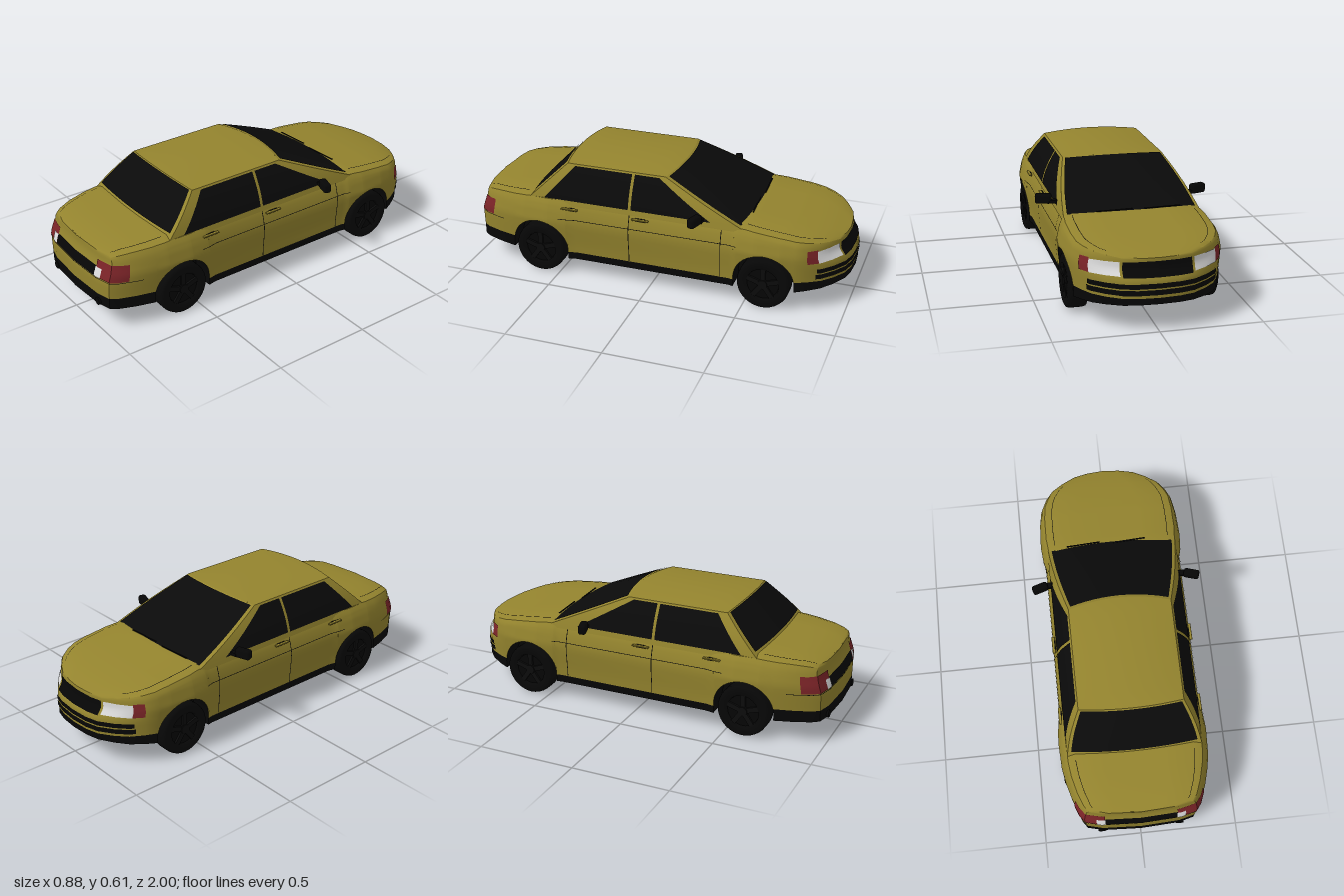
import * as THREE from 'three';
import { toCreasedNormals } from 'three/addons/utils/BufferGeometryUtils.js';
import { RoundedBoxGeometry } from 'three/addons/geometries/RoundedBoxGeometry.js';

const { lerp, smoothstep } = THREE.MathUtils;
const V = (x, y, z) => new THREE.Vector3(x, y, z);
const mat = (name, color) => {
  const m = new THREE.MeshStandardMaterial({ color });
  m.name = name;
  return m;
};

// Piecewise linear lookup in [[x, y], ...]
function tab(t, x) {
  let i = 0;
  while (i < t.length - 2 && x > t[i + 1][0]) i++;
  const k = (x - t[i][0]) / (t[i + 1][0] - t[i][0]);
  return lerp(t[i][1], t[i + 1][1], Math.min(1, Math.max(0, k)));
}

// Half outline seen from above (x, z), from nose (-z) to tail (+z)
const PLAN = [[0, -0.995], [0.10, -0.988], [0.17, -0.97], [0.24, -0.925], [0.295, -0.875], [0.335, -0.81],
  [0.36, -0.755], [0.372, -0.68], [0.378, -0.55], [0.370, -0.46], [0.36, -0.42], [0.36, 0.40], [0.37, 0.45],
  [0.378, 0.55], [0.372, 0.68], [0.36, 0.755], [0.335, 0.85], [0.305, 0.93], [0.28, 0.965], [0.2, 0.985], [0, 0.995]];
const PLAN_Z = PLAN.map(([x, z]) => [z, x]);
const WIDTH = [[0.1, 0.975], [0.17, 0.98], [0.25, 1], [0.3, 1.01], [0.36, 0.975], [0.4, 0.935]];
const CROWN = [[-1, 0.345], [-0.9, 0.37], [-0.7, 0.402], [-0.5, 0.425], [0, 0.43], [0.66, 0.43], [0.9, 0.412], [1, 0.39]];
const DROP = [[-1, 0.012], [-0.8, 0.025], [-0.5, 0.035], [0.7, 0.035], [1, 0.025]];
const BOTTOM = [[-1, 0.135], [-0.75, 0.11], [-0.45, 0.092], [0.45, 0.092], [0.75, 0.11], [1, 0.115]];
const TRIM = [[-1, 0.165], [-0.72, 0.165], [-0.45, 0.13], [0.45, 0.13], [0.72, 0.172], [1, 0.172]];
const AXLES = [-0.6, 0.6], ARCH_R = 0.155, ARCH_Y = 0.14;

// Point on the body wall at plan position (x, z) and height y; the nose leans back above the bumper
function wall(x, z, y) {
  const lean = z < 0 ? 0.035 * smoothstep(y, 0.238, 0.31) : 0.03 * smoothstep(y, 0.24, 0.37);
  return V(x * tab(WIDTH, y), y, z - Math.sign(z) * lean * smoothstep(Math.abs(z), 0.76, 1));
}
// Point on bonnet or boot lid; k = 1 at the shoulder, 0 on the centre line
const DECK = [[0, 1], [0.45, 0.98], [0.85, 0.88], [0.965, 0.55], [1, 0]];
function deck(x, z, k) {
  const ys = tab(CROWN, z) - tab(DROP, z), p = wall(x, z, ys);
  return V(p.x * k, ys + tab(DROP, z) * tab(DECK, k), p.z);
}
function archHeight(z) {
  for (const c of AXLES) {
    const d = Math.abs(z - c);
    if (d < ARCH_R * 0.9999) return ARCH_Y + Math.sqrt(ARCH_R ** 2 - d * d);
  }
  return 0;
}

// Surface through a grid of points
function grid(pts, flip = false) {
  const pos = [], idx = [], n = pts[0].length, s = flip ? -1 : 1;
  pts.forEach(r => r.forEach(p => pos.push(p.x * s, p.y, p.z)));
  for (let i = 0; i < pts.length - 1; i++) for (let j = 0; j < n - 1; j++) {
    const a = i * n + j, d = a + 1, b = a + n, c = b + 1;
    if (flip) idx.push(a, c, d, a, b, c);
    else idx.push(a, d, c, a, c, b);
  }
  const g = new THREE.BufferGeometry();
  g.setAttribute('position', new THREE.Float32BufferAttribute(pos, 3));
  g.setIndex(idx);
  return toCreasedNormals(g, 0.6);
}
const sample = (fn, u0, u1, v0, v1, nu, nv) => Array.from({ length: nu + 1 }, (_, i) =>
  Array.from({ length: nv + 1 }, (_, j) => fn(lerp(u0, u1, i / nu), lerp(v0, v1, j / nv))));

// Thin panel lying on the body wall, u being a fractional index along the plan
function onWall(u0, u1, y0, y1, off = 0.004) {
  const us = [u0];
  for (let i = Math.floor(u0) + 1; i < u1; i++) us.push(i);
  us.push(u1);
  return us.map(u => {
    const i = Math.min(Math.floor(u), PLAN.length - 2), [a, b] = [PLAN[i], PLAN[i + 1]];
    const q = u === i && i > 0 ? PLAN[i - 1] : a;
    const n = V(b[1] - q[1], 0, q[0] - b[0]).normalize();
    if (u === 0 || u === PLAN.length - 1) n.x = 0;
    return Array.from({ length: 7 }, (_, j) => wall(lerp(a[0], b[0], u - i), lerp(a[1], b[1], u - i), lerp(y0, y1, j / 6))
      .addScaledVector(n, off));
  });
}
const uOfZ = z => 10 + (z + 0.42) / 0.82; // along the straight door section

export function createModel() {
  const car = new THREE.Group();
  car.name = 'car';
  const paint = mat('yellow paint', 0x94842e), black = mat('black trim', 0x060606), glass = mat('dark glass', 0x0a0a0a);
  const red = mat('red lamp', 0x7c2428), white = mat('clear lamp', 0xdedede);
  const rubber = mat('tyre rubber', 0x070707), alloy = mat('dark wheel', 0x0c0c0c);

  const add = (name, geo, m, parent = car) => {
    const mesh = new THREE.Mesh(geo, m);
    mesh.name = name;
    parent.add(mesh);
    return mesh;
  };
  const both = (name, pts, m) => {
    add(name + 'Left', grid(pts), m);
    add(name + 'Right', grid(pts, true), m);
  };

  // Lower body: stations follow the plan and the wheel arches
  const zs = PLAN.map(p => p[1]);
  for (const c of AXLES) {
    for (let k = 0; k <= 18; k++) zs.push(c + ARCH_R * Math.cos(k * Math.PI / 18));
    zs.push(c - ARCH_R * 0.9985, c + ARCH_R * 0.9985);
  }
  zs.sort((a, b) => a - b);
  const shell = [], under = [];
  for (const z of zs) {
    const x = tab(PLAN_Z, z), yb = tab(BOTTOM, z), ya = Math.max(yb, archHeight(z));
    const yt = Math.max(tab(TRIM, z), ya), ys = tab(CROWN, z) - tab(DROP, z);
    const half = [];
    for (let j = 0; j < 11; j++) half.push(wall(x, z, lerp(yt, ys, j / 10)));
    for (const k of [0.965, 0.85, 0.45]) half.push(deck(x, z, k));
    const other = half.map(p => V(-p.x, p.y, p.z)).reverse();
    shell.push([...half, deck(x, z, 0), ...other]);
    // underside, wheel well and sill in one section
    const xi = Math.min(x * 0.96, 0.25);
    under.push([V(0, yb, z), V(xi, yb, z), V(xi, ya, z), wall(x, z, ya), wall(x, z, yt)]);
  }
  add('bodyShell', grid(shell), paint);
  both('undersideAndSill', under, black);

  // Cabin: v rises from beltline to roof edge
  const cx = v => lerp(0.345, 0.262, v) + 0.012 * Math.sin(Math.PI * v);
  const cy = v => lerp(0.39, 0.592, v);
  const zf = v => lerp(-0.52, -0.06, v), zr = v => lerp(0.68, 0.47, v);
  const front = o => (u, v) => V(u * cx(v), cy(v) + 0.014 * v * (1 - u * u) + o, zf(v) - 0.035 * (1 - u * u) - o * 0.6);
  const rear = o => (u, v) => V(-u * cx(v), cy(v) + 0.014 * v * (1 - u * u) + o, zr(v) + 0.022 * (1 - u * u) + o);
  const side = (u, v) => V(cx(v), cy(v), lerp(zf(v), zr(v), u));
  const roof = (u, w) => V(u * cx(1), 0.592 + (1 - u * u) * (0.014 + 0.008 * Math.sin(Math.PI * w) ** 0.5),
    lerp(zf(1) - 0.035 * (1 - u * u), zr(1) + 0.022 * (1 - u * u), w));
  add('windscreenFrame', grid(sample(front(0), -1, 1, 0, 1, 12, 6)), paint);
  add('rearWindowFrame', grid(sample(rear(0), -1, 1, 0, 1, 12, 6)), paint);
  add('roof', grid(sample(roof, -1, 1, 0, 1, 16, 14)), paint);
  both('cabinSide', sample(side, 0, 1, 0, 1, 1, 6), paint);
  add('windscreen', grid(sample(front(0.004), -0.95, 0.95, 0.12, 0.98, 12, 6)), glass);
  add('rearWindow', grid(sample(rear(0.004), -0.95, 0.95, 0.22, 0.98, 12, 6)), glass);

  // Side windows: [front z bottom, front z top, rear z bottom, rear z top]
  [[-0.32, -0.03, 0.1, 0.1], [0.115, 0.115, 0.575, 0.425]].forEach(([fb, ft, rb, rt], i) => {
    const pane = (u, v) => {
      const y = lerp(0.417, 0.584, v);
      return V(cx((y - 0.39) / 0.202) + 0.004, y + 0.001, lerp(lerp(fb, ft, v), lerp(rb, rt, v), u));
    };
    both(i ? 'rearDoorWindow' : 'frontDoorWindow', sample(pane, 0, 1, 0, 1, 1, 6), glass);
  });

  // Lamps, grille and bumper openings
  both('grille', onWall(0, 1.9, 0.262, 0.331), black);
  both('headlamp', onWall(2.05, 4.1, 0.268, 0.33), white);
  both('frontSideLamp', onWall(4.1, 4.95, 0.268, 0.336), red);
  both('upperIntake', onWall(0, 4.3, 0.212, 0.236), black);
  both('lowerIntake', onWall(0, 4.4, 0.18, 0.205), black);
  both('tailLamp', onWall(16.4, 19.08, 0.266, 0.35), red);
  both('reverseLamp', onWall(18.72, 19.1, 0.268, 0.315, 0.007), white);
  both('tailPanel', onWall(19.08, 20, 0.265, 0.316), black);
  both('rearBumperSeam', onWall(15.6, 20, 0.259, 0.262, 0.003), black);

  // Door gaps, rubbing line and panel seams
  for (const z of [-0.38, 0.105]) both('doorGap', onWall(uOfZ(z), uOfZ(z + 0.004), 0.135, 0.395, 0.004), black);
  both('rubbingLine', onWall(9, 12.4, 0.32, 0.323, 0.004), black);
  const seam = (z0, z1) => sample((u, w) => {
    const z = lerp(z0, z1, w), p = deck(tab(PLAN_Z, z), z, lerp(0.858, 0.85, u));
    return V(p.x, p.y + 0.0025, p.z);
  }, 1, 0, 0, 1, 1, 14);
  both('bonnetSeam', seam(-0.9, -0.5), black);
  both('bootSeam', seam(0.68, 0.95), black);

  // Mirrors, handles, wipers and exhausts
  for (const s of [1, -1]) {
    const mirror = add('doorMirror', new RoundedBoxGeometry(0.082, 0.05, 0.04, 3, 0.012), black);
    mirror.position.set(s * 0.4, 0.441, -0.255);
    mirror.rotation.y = -s * 0.3;
    const stalk = add('mirrorStalk', new THREE.BoxGeometry(0.05, 0.016, 0.03), black);
    stalk.position.set(s * 0.35, 0.428, -0.27);
    for (const z of [0.43, 0.045]) {
      const recess = add('handleRecess', new THREE.BoxGeometry(0.006, 0.016, 0.05), black);
      recess.position.set(s * 0.351, 0.374, z);
      const handle = add('doorHandle', new RoundedBoxGeometry(0.016, 0.008, 0.09, 2, 0.003), paint);
      handle.position.set(s * 0.358, 0.377, z);
    }
    const pipe = add('exhaustPipe', new THREE.CylinderGeometry(0.02, 0.02, 0.09, 16), black);
    pipe.rotation.x = Math.PI / 2;
    pipe.position.set(s * 0.2, 0.13, 0.945);
    const wiper = add('wiper', new THREE.BoxGeometry(0.18, 0.004, 0.006), black);
    wiper.position.set(s * 0.12 - 0.03, 0.43, -0.488);
    wiper.rotation.y = 0.06;
  }

  // Wheels
  const tyre = new THREE.LatheGeometry([[0.085, -0.05], [0.118, -0.05], [0.13, -0.044], [0.134, -0.03], [0.134, 0.03],
    [0.13, 0.044], [0.118, 0.05], [0.085, 0.05], [0.08, 0.03]].map(p => new THREE.Vector2(...p)), 36).rotateZ(-Math.PI / 2);
  const disc = new THREE.CylinderGeometry(0.084, 0.084, 0.07, 32).rotateZ(Math.PI / 2);
  for (const s of [1, -1]) for (const z of AXLES) {
    const wheel = new THREE.Group();
    wheel.name = z < 0 ? 'frontWheel' : 'rearWheel';
    add('tyre', tyre, rubber, wheel);
    add('rim', disc, black, wheel);
    const hub = add('hub', new THREE.CylinderGeometry(0.024, 0.028, 0.02, 20).rotateZ(-Math.PI / 2), alloy, wheel);
    hub.position.x = 0.04;
    for (let k = 0; k < 5; k++) {
      const spoke = add('spoke', new THREE.BoxGeometry(0.012, 0.075, 0.026).translate(0.04, 0.048, 0), alloy, wheel);
      spoke.rotation.x = k * Math.PI * 0.4;
    }
    wheel.position.set(s * 0.32, 0.134, z);
    if (s < 0) wheel.rotation.y = Math.PI;
    car.add(wheel);
  }
  return car;
}
